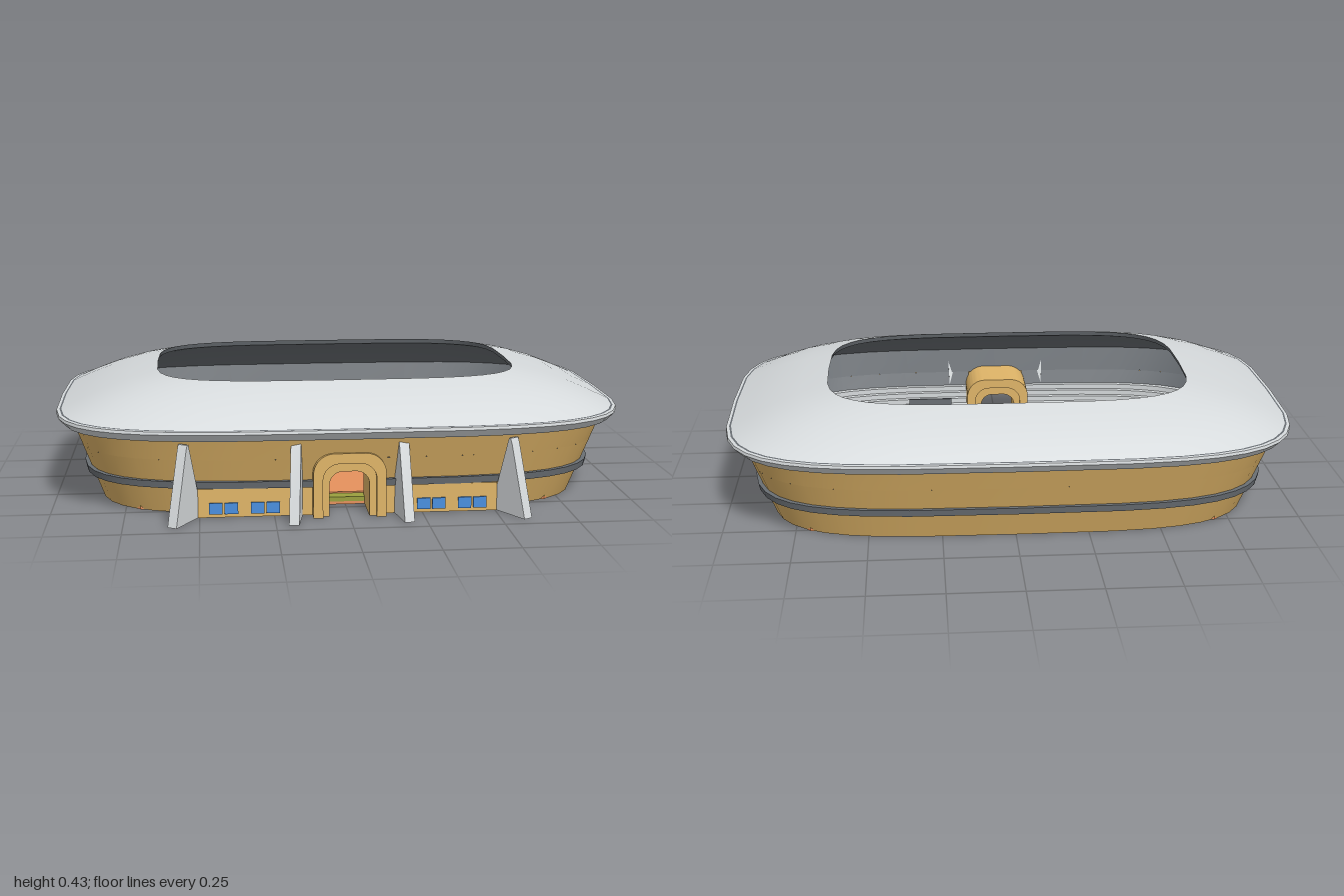
import * as THREE from 'three';
import { toCreasedNormals } from 'three/addons/utils/BufferGeometryUtils.js';

const CZ = -0.02; // the bowl sits slightly behind the origin

const mat = (name, color) => {
  const m = new THREE.MeshStandardMaterial({ color, side: THREE.DoubleSide });
  m.name = name;
  return m;
};

// Ring surface through [halfX, halfZ, y] steps on a squarish oval; gap leaves the front middle open
function loft(profile, gap = 0, segs = 40) {
  const pos = [], idx = [];
  for (const [a, b, y] of profile) {
    const t0 = Math.asin((gap / a) ** 2);
    for (let j = 0; j <= segs; j++) {
      const t = j === segs && !gap ? 0 : t0 + (2 * Math.PI - 2 * t0) * j / segs;
      const s = Math.sin(t), c = Math.cos(t);
      pos.push(a * Math.sign(s) * Math.sqrt(Math.abs(s)), y, CZ + b * Math.sign(c) * Math.sqrt(Math.abs(c)));
    }
  }
  const n = segs + 1;
  for (let i = 0; i < profile.length - 1; i++) {
    for (let j = 0; j < segs; j++) {
      const p = i * n + j;
      idx.push(p, p + 1, p + n + 1, p, p + n + 1, p + n);
    }
  }
  const g = new THREE.BufferGeometry();
  g.setAttribute('position', new THREE.Float32BufferAttribute(pos, 3));
  g.setIndex(idx);
  return toCreasedNormals(g, 0.5);
}

const extrude = (shape, depth) =>
  new THREE.ExtrudeGeometry(shape, { depth, bevelEnabled: false, curveSegments: 8 });

// Side profile in (z, y), extruded to a width along x and centred
function sideExtrude(points, width) {
  const shape = new THREE.Shape(points.map(([z, y]) => new THREE.Vector2(z, y)));
  const g = extrude(shape, width);
  g.rotateY(-Math.PI / 2);
  g.translate(width / 2, 0, 0);
  return toCreasedNormals(g, 0.5);
}

// Doorway frame with rounded upper corners
function archGeometry(w, h, r, wi, hi, ri, depth) {
  const s = new THREE.Shape();
  s.moveTo(-w, 0);
  s.lineTo(-wi, 0);
  s.lineTo(-wi, hi - ri);
  s.absarc(-wi + ri, hi - ri, ri, Math.PI, Math.PI / 2, true);
  s.absarc(wi - ri, hi - ri, ri, Math.PI / 2, 0, true);
  s.lineTo(wi, 0);
  s.lineTo(w, 0);
  s.lineTo(w, h - r);
  s.absarc(w - r, h - r, r, 0, Math.PI / 2, false);
  s.absarc(-w + r, h - r, r, Math.PI / 2, Math.PI, false);
  return toCreasedNormals(extrude(s, depth), 0.5);
}

// Flat slab with cut corners
function slab(hx, hz, c, height) {
  const pts = [[hx - c, -hz], [hx, -hz + c], [hx, hz - c], [hx - c, hz],
    [-hx + c, hz], [-hx, hz - c], [-hx, -hz + c], [-hx + c, -hz]];
  const g = extrude(new THREE.Shape(pts.map(p => new THREE.Vector2(...p))), height);
  return g.rotateX(-Math.PI / 2);
}

export function createModel() {
  const root = new THREE.Group();
  root.name = 'arena';
  const tan = mat('tan cladding', 0xe0b568);
  const light = mat('light grey', 0xd6dadc);
  const dark = mat('dark grey', 0x6a6f74);
  const orange = mat('orange wood', 0xe6925d);
  const olive = mat('olive grass', 0x9aa03e);
  const blue = mat('blue glass', 0x4a90e0);

  const add = (name, geo, material, x = 0, y = 0, z = 0, parent = root) => {
    const m = new THREE.Mesh(geo, material);
    m.name = name;
    m.position.set(x, y, z);
    parent.add(m);
    return m;
  };
  const box = (name, w, h, d, material, x, y, z, parent) =>
    add(name, new THREE.BoxGeometry(w, h, d), material, x, y, z, parent);

  // Flared outer wall, open at the entrance
  const wall = (y, off = 0) => [0.85 + 0.352 * y + off, 0.56 + 0.352 * y + off, y];
  add('lowerWall', loft([wall(0), wall(0.2)], 0.1), tan);
  add('upperWall', loft([wall(0.2), wall(0.275)]), tan);
  add('wallBand', loft([wall(0.098), wall(0.098, 0.018), wall(0.122, 0.014), wall(0.122)], 0.11), dark);

  // Roof, pale rim with a dark seam, and dark lining
  add('roofRim', loft([[0.94, 0.65, 0.272], [0.978, 0.665, 0.272], [1, 0.685, 0.298],
    [0.998, 0.683, 0.308], [0.988, 0.674, 0.309]]), light);
  add('roofSeam', loft([[0.988, 0.674, 0.309], [0.982, 0.669, 0.31]]), dark);
  add('roof', loft([[0.982, 0.669, 0.31], [0.915, 0.623, 0.341], [0.835, 0.563, 0.374],
    [0.74, 0.491, 0.404], [0.645, 0.42, 0.425]]), light);
  add('roofLining', loft([[0.645, 0.42, 0.425], [0.65, 0.425, 0.408], [0.83, 0.56, 0.355],
    [0.935, 0.642, 0.29], wall(0.2, -0.012)]), dark);
  add('innerWall', loft([wall(0.2, -0.012), wall(0.13, -0.012)], 0.11), dark);

  // Stepped seating, from the top row down to the grass
  const steps = [], rows = 6;
  for (let i = 0; i <= rows; i++) {
    const k = i / rows, a = 0.885 - 0.115 * k, b = 0.595 - 0.117 * k, y = 0.15 - 0.115 * k;
    if (i > 0) steps.push([a, b, y + 0.115 / rows]);
    steps.push([a, b, y]);
  }
  steps.push([0.77, 0.478, 0.02]);
  add('seating', loft(steps, 0.11), light);

  // Layered floor
  add('floorBase', slab(0.77, 0.485, 0.07, 0.01), orange, 0, 0, CZ);
  add('grass', slab(0.77, 0.485, 0.07, 0.016), olive, 0, 0.01, CZ);
  add('court', loft([[0.7, 0.437, 0.026], [0.7, 0.437, 0.031], [0.001, 0.001, 0.031]]), orange);

  // Entrance arch, nested frames
  add('outerArch', archGeometry(0.122, 0.22, 0.07, 0.09, 0.185, 0.055, 0.207), tan, 0, 0, 0.42);
  add('innerArch', archGeometry(0.092, 0.187, 0.055, 0.067, 0.155, 0.045, 0.18), tan, 0, 0, 0.43);

  // Front blocks with windows, and buttress fins
  const fin = sideExtrude([[0, 0], [0.165, 0], [0.095, 0.245], [0.088, 0.262], [0.08, 0.262]], 0.034);
  for (const s of [-1, 1]) {
    box('frontBlock', 0.39, 0.098, 0.05, tan, s * 0.31, 0.049, 0.56);
    for (const x of [0.28, 0.42]) {
      for (const d of [-0.026, 0.026]) {
        box('windowPane', 0.045, 0.038, 0.008, blue, s * x + d, 0.031, 0.587);
      }
    }
    for (const [x, turn, z] of [[0.165, 0.16, 0.537], [0.505, 0.54, 0.552]]) {
      add('fin', fin, light, s * x, 0, z).rotation.y = s * turn;
    }
  }

  // Half-pipe ramps: deck at one end, edge strip at the other, then posts or a deck panel
  const Y = 0.031;
  function halfPipe(x, z, length, deckSide, posts) {
    const g = new THREE.Group();
    g.name = 'halfPipe';
    g.position.set(x, Y, z);
    g.rotation.y = deckSide > 0 ? 0 : Math.PI;
    root.add(g);
    const e = length / 2, H = 0.085, pts = [[-e, 0], [e, 0], [e, H]];
    for (let i = 0; i <= 14; i++) {
      const s = 1 - i / 7;
      pts.push([-0.02 + s * (e - 0.02), 0.004 + (H - 0.004) * s * s]);
    }
    add('rampBody', sideExtrude(pts, 0.166), orange, 0, 0, 0, g);
    box('deck', 0.168, 0.008, 0.042, dark, 0, H + 0.002, e - 0.02, g);
    box('edgeStrip', 0.168, 0.006, 0.006, dark, 0, H, -e + 0.003, g);
    if (posts) {
      for (let i = 0; i < 4; i++) box('post', 0.006, 0.008, 0.022, dark, -0.06 + i * 0.04, H - 0.004, -e - 0.01, g);
    } else {
      box('deckPanel', 0.168, 0.05, 0.008, dark, 0, H + 0.03, e - 0.003, g);
    }
  }
  halfPipe(-0.505, -0.055, 0.35, 1, true);
  halfPipe(-0.29, -0.152, 0.385, -1, false);
  halfPipe(0.273, 0.157, 0.385, 1, false);
  halfPipe(0.485, 0.062, 0.35, -1, true);

  // Small quarter ramps at the back
  const quarter = [[-0.03, 0], [0.035, 0], [0.015, 0.008], [-0.002, 0.022], [-0.012, 0.04], [-0.03, 0.04]];
  for (const x of [-0.073, 0.097]) {
    add('quarterRamp', sideExtrude(quarter, 0.14), orange, x, Y, -0.298);
    box('quarterDeck', 0.142, 0.006, 0.02, dark, x, Y + 0.042, -0.319);
  }

  // Central spine, cross block and turned wedge
  const spine = sideExtrude([[-0.042, 0], [0.042, 0], [0.012, 0.014], [0, 0.045], [-0.012, 0.014]], 0.17);
  add('spine', spine, orange, 0, Y, -0.02).rotation.y = Math.PI / 2;
  box('spineRail', 0.008, 0.01, 0.172, dark, 0, Y + 0.046, -0.02);
  box('crossBlock', 0.05, 0.026, 0.13, orange, -0.095, Y + 0.013, 0.205);
  box('crossArm', 0.1, 0.02, 0.055, orange, -0.095, Y + 0.01, 0.205);
  box('crossRail', 0.007, 0.012, 0.13, dark, -0.095, Y + 0.03, 0.205);
  const wedge = sideExtrude([[-0.055, 0], [0.055, 0], [-0.055, 0.04]], 0.09);
  add('turnedWedge', wedge, orange, 0.402, Y, -0.312).rotation.y = 0.75;

  return root;
}
